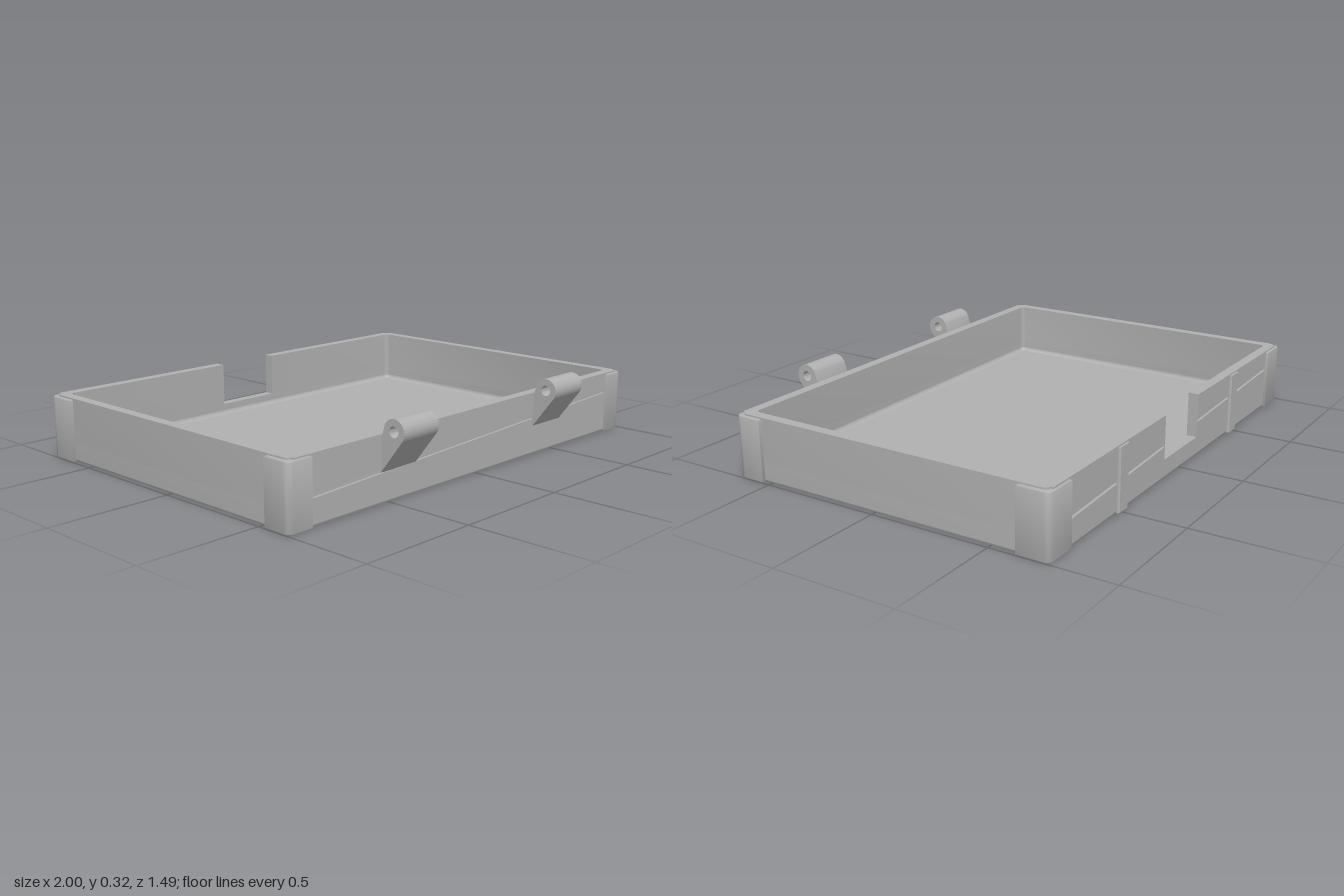
import * as THREE from 'three';
import { toCreasedNormals } from 'three/addons/utils/BufferGeometryUtils.js';

const HX = 0.985, HZ = 0.6875;       // outer half sizes of the body
const IX = 0.943, IZ = 0.645;        // inner half sizes
const TOP = 0.26, FLOOR = 0.035, SKIN = 0.01;
const NOTCH_X = 0.145, NOTCH_Y = 0.08;
const CENTRE_Z = -0.0475;

const V = (x, y) => new THREE.Vector2(x, y);

// Rounded rectangle, counter-clockwise from the back left corner (plan y = back)
function rectPts(hx, hz, r) {
  const pts = [];
  [[-1, 1], [-1, -1], [1, -1], [1, 1]].forEach(([sx, sy], c) => {
    for (let i = 0; i <= 5; i++) {
      const a = Math.PI / 2 * (c + 1 + i / 5);
      pts.push(V(sx * (hx - r) + r * Math.cos(a), sy * (hz - r) + r * Math.sin(a)));
    }
  });
  return pts;
}

// Thin slot between two points
function slot(x1, y1, x2, y2, w = 0.016) {
  const h = w / 2;
  return new THREE.Path([V(x1, y1 - h), V(x2, y2 - h), V(x2, y2 + h), V(x1, y1 + h)]);
}

// Plan shape extruded upwards from y0 to y1
function slab(shape, y0, y1, bevel = 0) {
  const g = new THREE.ExtrudeGeometry(shape, {
    depth: y1 - y0 - 2 * bevel, bevelEnabled: bevel > 0, bevelSize: bevel,
    bevelThickness: bevel, bevelOffset: -bevel, bevelSegments: 2, curveSegments: 8,
  });
  g.rotateX(-Math.PI / 2);
  g.translate(0, y0 + bevel, 0);
  return toCreasedNormals(g, 0.6);
}

// Skin joining rounded rectangles; profile holds [inset, y]
function loft(hx, hz, r, profile) {
  const pos = [], idx = [];
  const n = 24;
  for (const [inset, y] of profile) {
    for (const p of rectPts(hx - inset, hz - inset, Math.max(r - inset, 0.004))) pos.push(p.x, y, -p.y);
  }
  for (let k = 0; k < profile.length - 1; k++) {
    for (let i = 0; i < n; i++) {
      const a = k * n + i, b = k * n + (i + 1) % n;
      idx.push(a, b, b + n, a, b + n, a + n);
    }
  }
  const g = new THREE.BufferGeometry();
  g.setAttribute('position', new THREE.Float32BufferAttribute(pos, 3));
  g.setIndex(idx);
  return toCreasedNormals(g, 0.6);
}

export function createModel() {
  const model = new THREE.Group();
  model.name = 'hingedTray';
  const body = new THREE.Group();
  body.name = 'trayBody';
  body.position.z = CENTRE_Z;
  model.add(body);
  const grey = new THREE.MeshStandardMaterial({ color: 0xb0b0b0 });
  grey.name = 'plainGrey';
  const add = (name, geometry, parent = body) => {
    const m = new THREE.Mesh(geometry, grey);
    m.name = name;
    parent.add(m);
    return m;
  };

  // Underside with three slanted grooves, and the floor above it
  const under = new THREE.Shape(rectPts(HX - 0.01, HZ - 0.01, 0.02));
  for (const [right, left] of [[-0.335, -0.4], [-0.064, -0.006], [0.338, 0.268]]) {
    under.holes.push(slot(-0.87, CENTRE_Z - left, 0.865, CENTRE_Z - right));
  }
  add('underside', slab(under, 0, SKIN));
  add('bottomBevel', loft(HX, HZ, 0.03, [[0.01, 0], [0.003, 0.003], [0, 0.01]]));
  add('floor', slab(new THREE.Shape(rectPts(HX - 0.02, HZ - 0.02, 0.03)), SKIN, FLOOR));
  const fillet = [];
  for (let i = 0; i <= 4; i++) {
    const a = i / 4 * Math.PI / 2;
    fillet.push([0.016 * (1 - Math.cos(a)), FLOOR + 0.001 + 0.016 * (1 - Math.sin(a))]);
  }
  add('floorFillet', loft(IX, IZ, 0.025, fillet));

  // Walls: closed ring below, ring with a gap at the back above
  const outer = rectPts(HX, HZ - SKIN, 0.025), inner = rectPts(IX, IZ, 0.025);
  const lower = new THREE.Shape(outer);
  lower.holes.push(new THREE.Path(inner));
  add('lowerWalls', slab(lower, SKIN, NOTCH_Y));
  const upper = new THREE.Shape([
    V(-NOTCH_X, HZ - SKIN), ...outer, V(NOTCH_X, HZ - SKIN),
    V(NOTCH_X, IZ), ...inner.slice().reverse(), V(-NOTCH_X, IZ),
  ]);
  add('upperWalls', slab(upper, NOTCH_Y, TOP));

  // Grooved outer layers of the front and back walls
  const E = HX - 0.02;
  const face = (shape, z) => {
    const g = new THREE.ExtrudeGeometry(shape, { depth: SKIN, bevelEnabled: false });
    return g.translate(0, 0, z);
  };
  const front = new THREE.Shape([V(-E, SKIN), V(E, SKIN), V(E, TOP), V(-E, TOP)]);
  front.holes.push(slot(-0.89, 0.11, 0.89, 0.181));
  add('frontWallFace', face(front, HZ - SKIN));
  const back = new THREE.Shape([
    V(-E, SKIN), V(E, SKIN), V(E, TOP), V(NOTCH_X, TOP),
    V(NOTCH_X, NOTCH_Y), V(-NOTCH_X, NOTCH_Y), V(-NOTCH_X, TOP), V(-E, TOP),
  ]);
  const slant = (x) => 0.1455 - 0.04 * x;
  for (const [a, b] of [[-0.88, -0.148], [0.148, 0.88]]) back.holes.push(slot(a, slant(a), b, slant(b)));
  add('backWallFace', face(back, -HZ));

  // Rounded guards wrapping the four corners
  for (const sx of [-1, 1]) {
    for (const sy of [-1, 1]) {
      const X = 1, Y = HZ + 0.01, t = 0.047, r = 0.03;
      const lx = sy > 0 ? 0.14 : 0.11, ly = sy > 0 ? 0.135 : 0.12;
      const pts = [[X - lx, Y]];
      for (let i = 0; i <= 6; i++) {
        const a = Math.PI / 2 * (1 - i / 6);
        pts.push([X - r + r * Math.cos(a), Y - r + r * Math.sin(a)]);
      }
      pts.push([X, Y - ly], [X - t, Y - ly], [X - t, Y - t], [X - lx, Y - t]);
      const guard = new THREE.Shape(pts.map(([x, y]) => V(sx * x, sy * y)));
      add('cornerGuard', slab(guard, 0, 0.254, 0.006));
    }
  }

  // Upright ribs on the back
  for (const s of [-1, 1]) {
    const x = s * 0.49, w = 0.036;
    const rib = new THREE.Shape([
      V(x - w, HZ - 0.005), V(x + w, HZ - 0.005), V(x + w, HZ + 0.004),
      V(x + w - 0.006, HZ + 0.01), V(x - w + 0.006, HZ + 0.01), V(x - w, HZ + 0.004),
    ]);
    add('backRib', slab(rib, 0.003, 0.254));
  }

  // Hinge knuckles: round eye tapering down to the front wall
  const cz = 0.698, cy = 0.276, R = 0.048, wall = 0.637;
  const lug = new THREE.Shape();
  lug.moveTo(wall, 0.118);
  lug.lineTo(cz + R * Math.cos(-0.62), cy + R * Math.sin(-0.62));
  lug.absarc(cz, cy, R, -0.62, 2.65, false);
  lug.lineTo(wall, 0.235);
  lug.closePath();
  const pin = new THREE.Path();
  pin.absarc(cz, cy, 0.021, 0, Math.PI * 2, true);
  lug.holes.push(pin);
  const W = 0.185;
  const lugGeo = new THREE.ExtrudeGeometry(lug, { depth: W, bevelEnabled: false, curveSegments: 24 });
  lugGeo.translate(0, 0, -W / 2);
  lugGeo.rotateY(-Math.PI / 2);
  const smoothLug = toCreasedNormals(lugGeo, 0.6);
  for (const s of [-1, 1]) add('hingeKnuckle', smoothLug, model).position.x = s * 0.452;

  return model;
}
